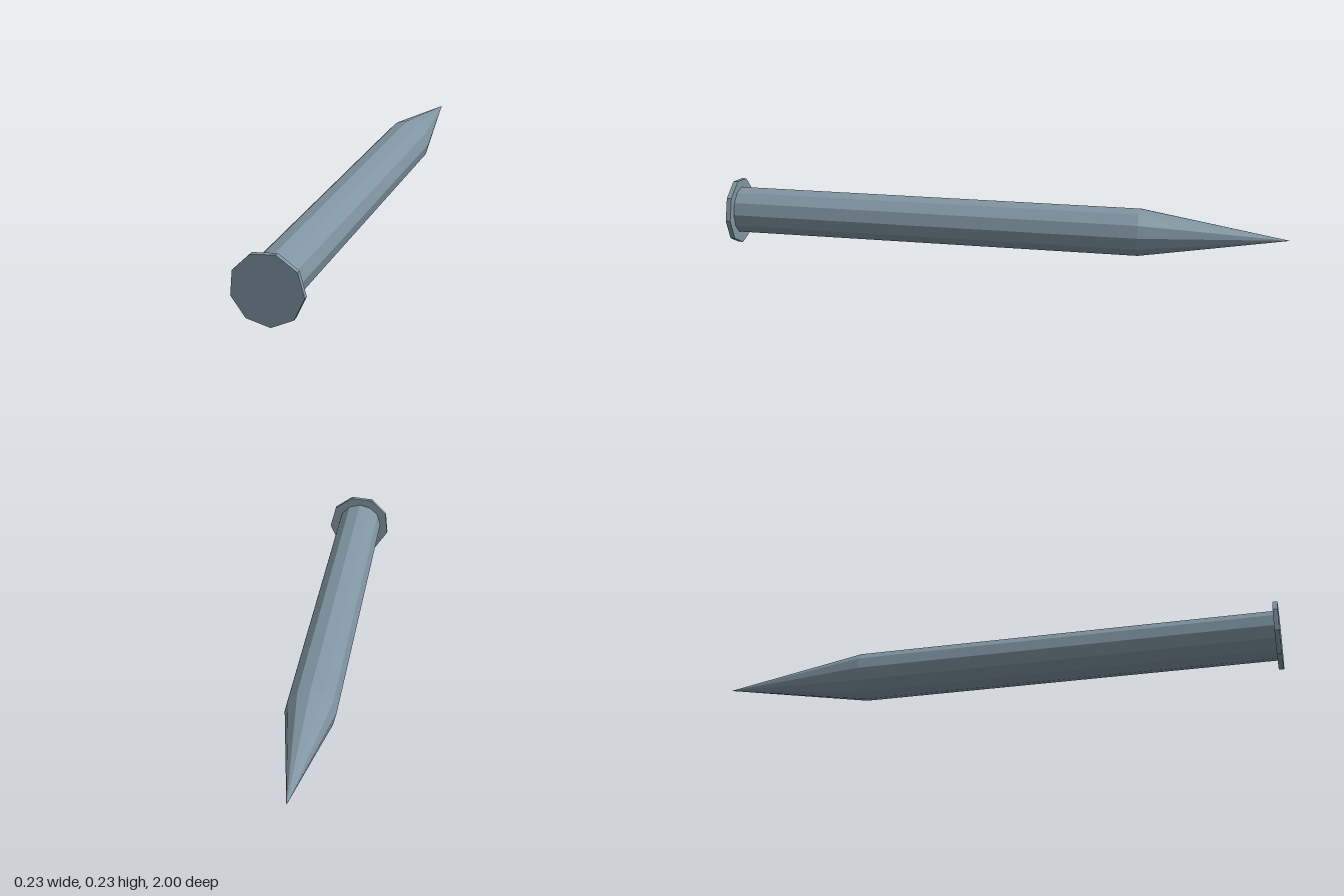
import * as THREE from 'three';

const material = new THREE.MeshStandardMaterial({ color: 0x8095a2, flatShading: true });

// Faceted round section along z, from zBack to zFront
function section(name, rBack, rFront, zBack, zFront, sides, x, y, turn = 0) {
  const geometry = new THREE.CylinderGeometry(rFront, rBack, zFront - zBack, sides);
  geometry.rotateX(Math.PI / 2);
  geometry.rotateZ(THREE.MathUtils.degToRad(turn));
  const mesh = new THREE.Mesh(geometry, material);
  mesh.name = name;
  mesh.position.set(x, y, (zBack + zFront) / 2);
  return mesh;
}

export function createModel() {
  const group = new THREE.Group();
  group.name = 'nail';
  group.add(
    // Thin nine-sided head, slightly turned
    section('head', 0.1195, 0.1195, 0.983, 1, 9, -0.0015, 0.119, 4.8),
    // Long straight shaft
    section('shaft', 0.085, 0.085, -0.485, 0.983, 12, -0.003, 0.122),
    // Tapered point
    section('point', 0, 0.085, -1, -0.485, 12, -0.003, 0.122),
  );
  return group;
}
